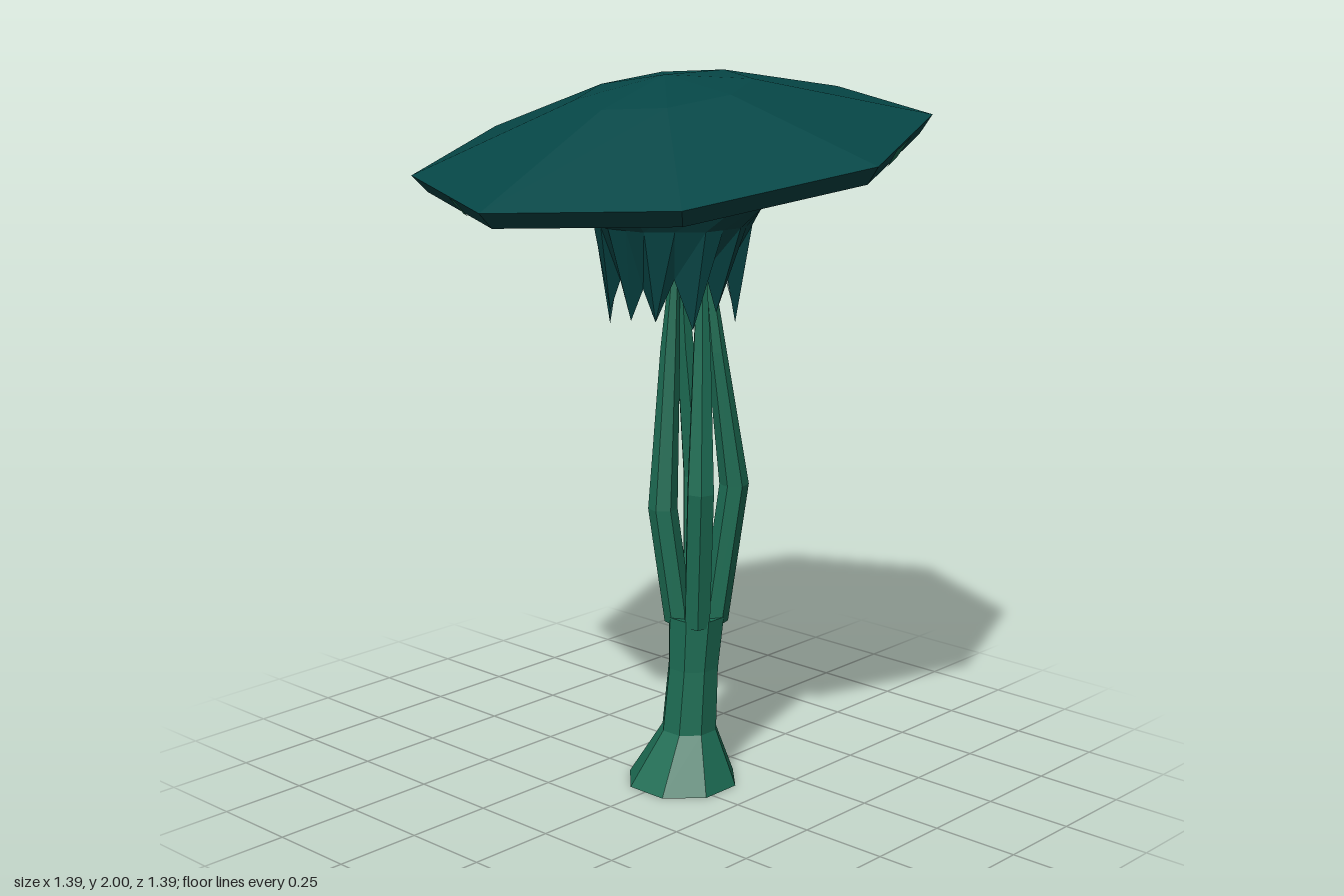
import * as THREE from 'three';

const TAU = Math.PI * 2;
const capColor = new THREE.MeshStandardMaterial({ name: 'deep teal', color: 0x064646, flatShading: true, side: THREE.DoubleSide });
const stemColor = new THREE.MeshStandardMaterial({ name: 'stem green', color: 0x1d6d54, flatShading: true, side: THREE.DoubleSide });

const V = (x, y, z) => new THREE.Vector3(x, y, z);

// Ring of n points; fn(angle, index) gives each point
const ring = (n, fn) => Array.from({ length: n }, (_, i) => fn((i / n) * TAU, i));
const circle = (n, r, x, y, z, turn = 0) =>
  ring(n, (a) => V(x + r * Math.cos(a + turn), y, z + r * Math.sin(a + turn)));

// Splits every edge of a closed ring into k parts
const subdivide = (pts, k) => pts.flatMap((p, i) =>
  Array.from({ length: k }, (_, j) => p.clone().lerp(pts[(i + 1) % pts.length], j / k)));

// Skins rings from bottom to top, with optional end points closing the ends
function loft(rings, bottom, top) {
  const pos = [];
  const tri = (...ps) => ps.forEach((p) => pos.push(p.x, p.y, p.z));
  const n = rings[0].length;
  for (let i = 0; i < n; i++) {
    const j = (i + 1) % n;
    for (let k = 0; k + 1 < rings.length; k++) {
      const lo = rings[k], hi = rings[k + 1];
      tri(lo[i], hi[i], lo[j]);
      tri(lo[j], hi[i], hi[j]);
    }
    const last = rings[rings.length - 1];
    if (bottom) tri(bottom, rings[0][i], rings[0][j]);
    if (top) tri(top, last[j], last[i]);
  }
  const g = new THREE.BufferGeometry();
  g.setAttribute('position', new THREE.Float32BufferAttribute(pos, 3));
  g.computeVertexNormals();
  return g;
}

export function createModel() {
  const model = new THREE.Group();
  model.name = 'mushroom';
  const add = (name, geometry, material) => {
    const m = new THREE.Mesh(geometry, material);
    m.name = name;
    model.add(m);
  };

  // Tilted eight-sided cap: inner lip, lower rim, upper rim, crown and apex
  const tilt = (a, r, h, z0 = 0) => V(r * Math.cos(a), h - 0.16 * r * Math.sin(a), z0 + r * Math.sin(a));
  const lip = ring(8, (a) => tilt(a, 0.61, 1.775, -0.005));
  const rimLow = ring(8, (a) => tilt(a, 0.657, 1.765, -0.005));
  const rimHigh = ring(8, (a) => tilt(a, 0.694, 1.813));
  const crown = ring(8, (a) => tilt(a, 0.235, 1.962, 0.03));
  add('cap', loft([lip, rimLow, rimHigh, crown], null, V(0, 2, 0.03)), capColor);

  // Ragged skirt: four flaring points on the axes, flat walls between
  const skirtRing = (tipR, wallR, tipY, wallY, tipSlope, wallSlope, spread) =>
    subdivide(ring(12, (a, i) => {
      const side = ((i + 1) % 3) - 1;
      const angle = a - side * (TAU / 12 - spread);
      const r = side ? wallR : tipR;
      const slope = side ? wallSlope : tipSlope;
      return V(r * Math.cos(angle), (side ? wallY : tipY) - slope * r * Math.sin(angle), r * Math.sin(angle));
    }), 2);
  const skirtTop = skirtRing(0.43, 0.28, 1.765, 1.695, 0.16, 0.08, 0.36);
  const skirtWaist = skirtRing(0.245, 0.225, 1.615, 1.61, 0, 0, 0.42);
  const skirtHem = skirtRing(0.16, 0.175, 1.38, 1.35, 0, 0, 0.5).map((p, i) => {
    p.y += i % 2 ? 0.11 + 0.03 * Math.sin(i * 2.3) : 0.03 * Math.sin(i * 1.7);
    return p;
  });
  add('skirt', loft([skirtHem, skirtWaist, skirtTop]), capColor);
  add('capUnderside', loft([skirtTop, subdivide(lip, 3)]), capColor);

  // Mossy patches on the rim faces
  for (const [i, f0, f1] of [[7, 0.42, 0.7], [6, 0.55, 0.77], [2, 0.33, 0.42]]) {
    const at = (pts, f) => {
      const p = pts[i].clone().lerp(pts[(i + 1) % 8], f);
      return V(p.x * 1.003, p.y - 0.002, p.z * 1.003);
    };
    const inset = (f1 - f0) * 0.18;
    const corners = [at(rimLow, f0 + inset), at(rimHigh, f0), at(rimLow, f1 - inset), at(rimHigh, f1)];
    const g = new THREE.BufferGeometry().setFromPoints(corners);
    g.setIndex([0, 1, 2, 2, 1, 3]);
    g.computeVertexNormals();
    add('rimPatch', g, stemColor);
  }

  // Flared trunk
  const trunk = [
    [0.161, 0.005, 0, -0.037], [0.081, 0.015, 0.155, -0.055],
    [0.074, 0.022, 0.34, -0.064], [0.082, 0.026, 0.49, -0.072],
  ].map(([r, x, y, z]) => circle(8, r, x, y, z, Math.PI / 8));
  add('trunk', loft(trunk, V(0.005, 0, -0.037), V(0.026, 0.48, -0.072)), stemColor);

  // Four strands that grow out of the trunk, bow outward and meet under the cap
  for (const sx of [-1, 1]) {
    for (const sz of [-1, 1]) {
      const kink = sx > 0 || sz < 0 ? 0.87 : 0.8;
      const path = [
        [0.04, 0.026 + sx * 0.035, 0.47, -0.072 + sz * 0.035],
        [0.041, 0.03 + sx * 0.071, kink, -0.075 + sz * 0.069],
        [0.027, 0.02 + sx * 0.059, 1.25, -0.064 + sz * 0.03],
        [0.014, 0.02 + sx * 0.05, 1.48, -0.055 + sz * 0.012],
      ];
      const rings = path.map(([r, x, y, z]) => circle(6, r, x, y, z, Math.atan2(sz, sx)));
      const [, x, y, z] = path[3];
      add('stemStrand', loft(rings, null, V(x, y, z)), stemColor);
    }
  }
  return model;
}
